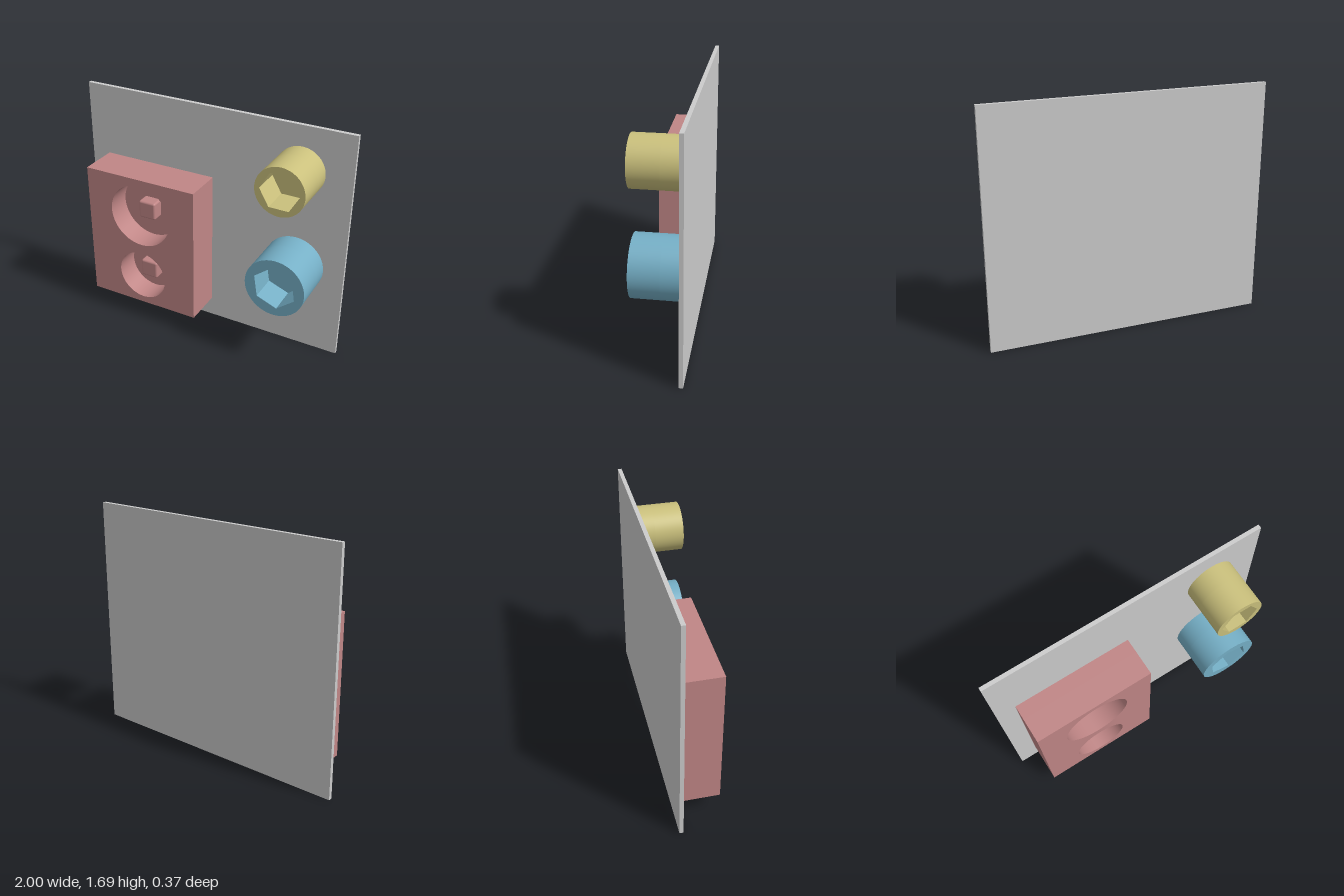
import * as THREE from 'three';
import { toCreasedNormals } from 'three/addons/utils/BufferGeometryUtils.js';
import { RoundedBoxGeometry } from 'three/addons/geometries/RoundedBoxGeometry.js';

const BACK = -0.186, FACE = -0.158; // rear and front planes of the panel

const material = (name, color) => {
  const m = new THREE.MeshStandardMaterial({ color });
  m.name = name;
  return m;
};

function addMesh(parent, name, geometry, mat, x = 0, y = 0, z = 0) {
  const mesh = new THREE.Mesh(geometry, mat);
  mesh.name = name;
  mesh.position.set(x, y, z);
  parent.add(mesh);
  return mesh;
}

function circle(Type, x, y, r) {
  const p = new Type();
  p.absarc(x, y, r, 0, Math.PI * 2, false);
  return p;
}

// Closed hexagon with its first corner at the given angle
function hexagon(r, angle) {
  const points = [];
  for (let i = 0; i < 6; i++) {
    const a = angle + i * Math.PI / 3;
    points.push(new THREE.Vector2(r * Math.cos(a), r * Math.sin(a)));
  }
  return new THREE.Path(points).closePath();
}

function extrude(shape, depth) {
  const g = new THREE.ExtrudeGeometry(shape, { depth, bevelEnabled: false, curveSegments: 48 });
  return toCreasedNormals(g, 0.5);
}

// Round post with a blind hexagonal socket in its front end
function socketPost(name, mat, x, y, radius, hexRadius, angle) {
  const post = new THREE.Group();
  post.name = name;
  const front = 0.185, floor = -0.018;
  const rim = circle(THREE.Shape, 0, 0, radius);
  rim.holes.push(hexagon(hexRadius, angle));
  addMesh(post, name + 'Socket', extrude(rim, front - floor), mat, 0, 0, floor);
  addMesh(post, name + 'Base', extrude(circle(THREE.Shape, 0, 0, radius), floor - FACE), mat, 0, 0, FACE);
  post.position.set(x, y, 0);
  return post;
}

export function createModel() {
  const model = new THREE.Group();
  model.name = 'wallPanel';
  const grey = material('panelGrey', 0xcccccc);
  const red = material('blockRed', 0xc08686);
  const yellow = material('postYellow', 0xcac07c);
  const blue = material('postBlue', 0x75afc6);

  // Backing panel
  addMesh(model, 'panel', new THREE.BoxGeometry(2, 1.69, FACE - BACK), grey, 0, 0.845, (FACE + BACK) / 2);

  // Block with two round recesses
  const block = new THREE.Group();
  block.name = 'recessedBlock';
  model.add(block);
  const left = -0.86, right = 0, bottom = 0.145, top = 1.17;
  const front = 0.125, floor = -0.053, cx = -0.43;
  const recesses = [['upper', 0.885, 0.238], ['lower', 0.385, 0.19]];
  const outline = () => new THREE.Shape([
    new THREE.Vector2(left, bottom), new THREE.Vector2(right, bottom),
    new THREE.Vector2(right, top), new THREE.Vector2(left, top),
  ]);
  const frontShape = outline();
  for (const [, y, r] of recesses) frontShape.holes.push(circle(THREE.Path, cx, y, r));
  addMesh(block, 'blockFront', extrude(frontShape, front - floor), red, 0, 0, floor);
  addMesh(block, 'blockBack', extrude(outline(), floor - FACE), red, 0, 0, FACE);

  // Soft-edged square peg in each recess, sunk slightly into its floor
  const pegFront = 0.035, pegBack = floor - 0.02;
  for (const [name, y] of recesses) {
    const peg = new RoundedBoxGeometry(0.133, 0.133, pegFront - pegBack, 4, 0.015);
    addMesh(block, name + 'Peg', peg, red, cx, y, (pegFront + pegBack) / 2);
  }

  // Two socketed posts
  model.add(socketPost('upperPost', yellow, 0.64, 1.373, 0.171, 0.137, 0));
  model.add(socketPost('lowerPost', blue, 0.64, 0.657, 0.213, 0.156, THREE.MathUtils.degToRad(39)));
  return model;
}
